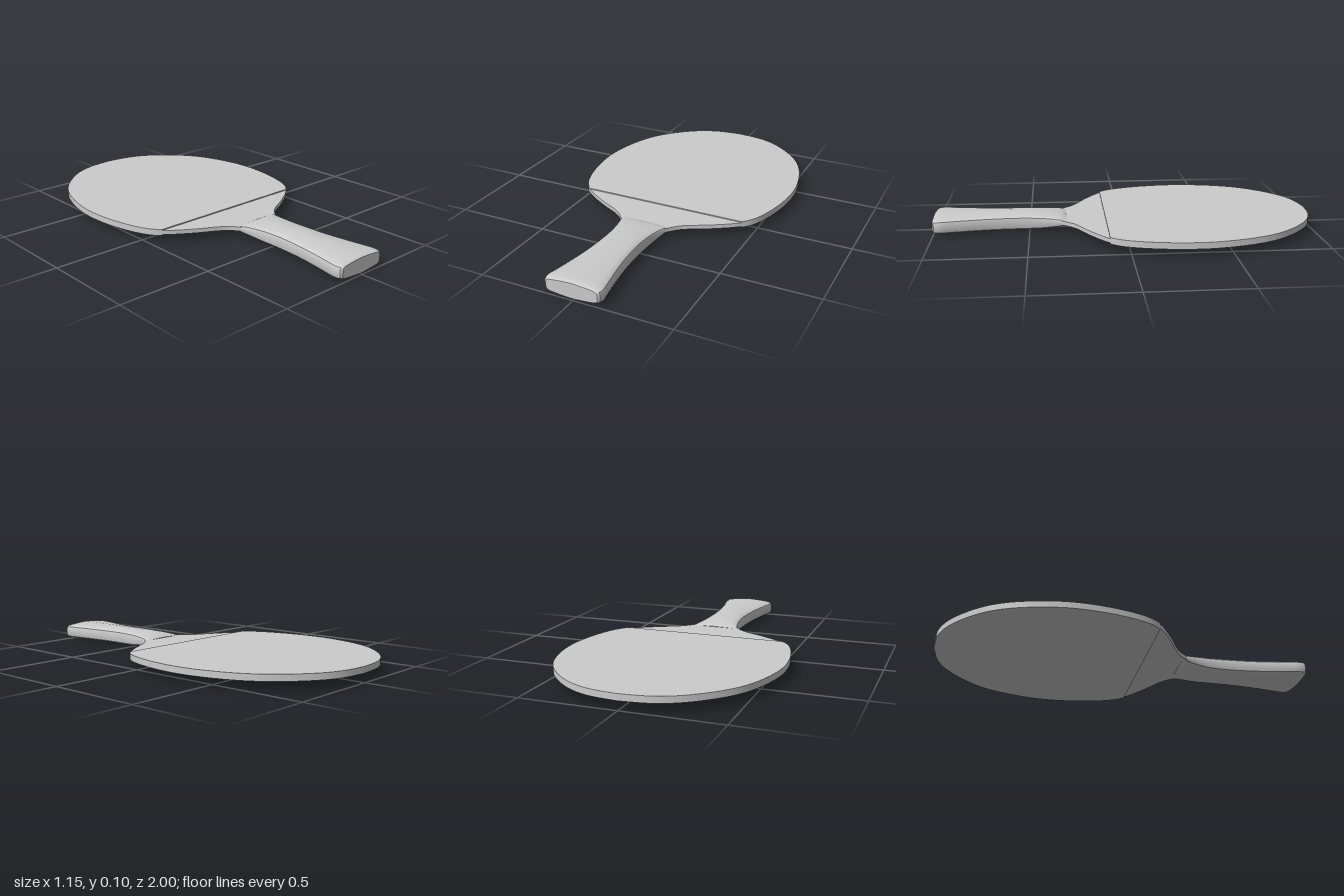
import * as THREE from 'three';
import { toCreasedNormals } from 'three/addons/utils/BufferGeometryUtils.js';

const material = new THREE.MeshStandardMaterial({ color: 0xcccccc });

// Right half of the blade outline as (x, z), from the far tip to inside the handle
const halfOutline = new THREE.SplineCurve([
  [0, -1], [0.15, -0.98], [0.28, -0.92], [0.41, -0.805], [0.495, -0.68], [0.55, -0.52],
  [0.574, -0.35], [0.56, -0.17], [0.515, 0], [0.45, 0.1], [0.32, 0.19], [0.2, 0.255],
  [0.14, 0.31], [0.105, 0.37], [0.085, 0.45],
].map(([x, z]) => new THREE.Vector2(x, z))).getPoints(84);

// Flat sheet with the blade outline, cut straight across at zCut
function sheet(name, zCut, bottom, top) {
  const right = halfOutline.filter((p) => p.y <= zCut);
  const next = halfOutline[right.length];
  if (next) {
    const last = right[right.length - 1];
    right.push(last.clone().lerp(next, (zCut - last.y) / (next.y - last.y)));
  }
  const left = right.slice(1).reverse().map((p) => new THREE.Vector2(-p.x, p.y));
  const geometry = new THREE.ExtrudeGeometry(new THREE.Shape([...right, ...left]), {
    depth: top - bottom, bevelEnabled: false,
  });
  geometry.rotateX(Math.PI / 2).translate(0, top, 0);
  const mesh = new THREE.Mesh(toCreasedNormals(geometry, 0.5), material);
  mesh.name = name;
  return mesh;
}

// Flared grip lofted from crowned cross-sections along z
function handle() {
  const quarter = [[1, 0.33], [0.97, 0.58], [0.88, 0.74], [0.72, 0.82], [0.4, 0.92]];
  const mirrorX = quarter.map(([u, v]) => [-u, v]).reverse();
  const upper = [...quarter, [0, 1], ...mirrorX];
  const section = [...upper, ...upper.map(([u, v]) => [-u, -v])];

  // Stations: z, half width, half height
  const body = new THREE.CatmullRomCurve3([
    [0.305, 0.132, 0.014], [0.33, 0.126, 0.025], [0.38, 0.113, 0.036], [0.45, 0.102, 0.045],
    [0.55, 0.097, 0.049], [0.7, 0.106, 0.049], [0.84, 0.127, 0.049], [0.95, 0.148, 0.049],
  ].map((s) => new THREE.Vector3(...s))).getPoints(28);
  const stations = [...body, new THREE.Vector3(0.975, 0.149, 0.048),
    new THREE.Vector3(0.992, 0.144, 0.045), new THREE.Vector3(1, 0.134, 0.04)];

  const n = section.length;
  const positions = [];
  const index = [];
  const centre = (z) => [-0.006 * (z - 0.3) / 0.7, 0.049 + 0.006 * Math.max(0, (0.45 - z) / 0.15)];
  for (const { x: z, y: w, z: h } of stations) {
    const [cx, cy] = centre(z);
    for (const [u, v] of section) positions.push(cx + u * w, cy + v * h, z);
  }
  for (let i = 0; i < stations.length - 1; i++) {
    for (let j = 0; j < n; j++) {
      const k = (j + 1) % n;
      const a = i * n + j, b = i * n + k, c = a + n, d = b + n;
      index.push(a, b, d, a, d, c);
    }
  }
  // End caps
  const lastRing = (stations.length - 1) * n;
  const start = positions.length / 3;
  for (const s of [stations[0], stations[stations.length - 1]]) positions.push(...centre(s.x), s.x);
  for (let j = 0; j < n; j++) {
    const k = (j + 1) % n;
    index.push(start, k, j, start + 1, lastRing + j, lastRing + k);
  }
  const geometry = new THREE.BufferGeometry();
  geometry.setAttribute('position', new THREE.Float32BufferAttribute(positions, 3));
  geometry.setIndex(index);
  const mesh = new THREE.Mesh(toCreasedNormals(geometry, 0.55), material);
  mesh.name = 'handle';
  return mesh;
}

export function createModel() {
  const model = new THREE.Group();
  model.name = 'tableTennisBat';

  // Wooden blade with a rubber sheet on each face, tilted very slightly upwards
  const blade = new THREE.Group();
  blade.name = 'blade';
  blade.add(
    sheet('woodenBlade', 1, -0.011, 0.011),
    sheet('topRubber', 0.1, 0.011, 0.0165),
    sheet('bottomRubber', 0.1, -0.0165, -0.011),
  );
  blade.position.y = 0.0565;
  blade.rotation.x = 0.005;

  model.add(blade, handle());
  return model;
}
